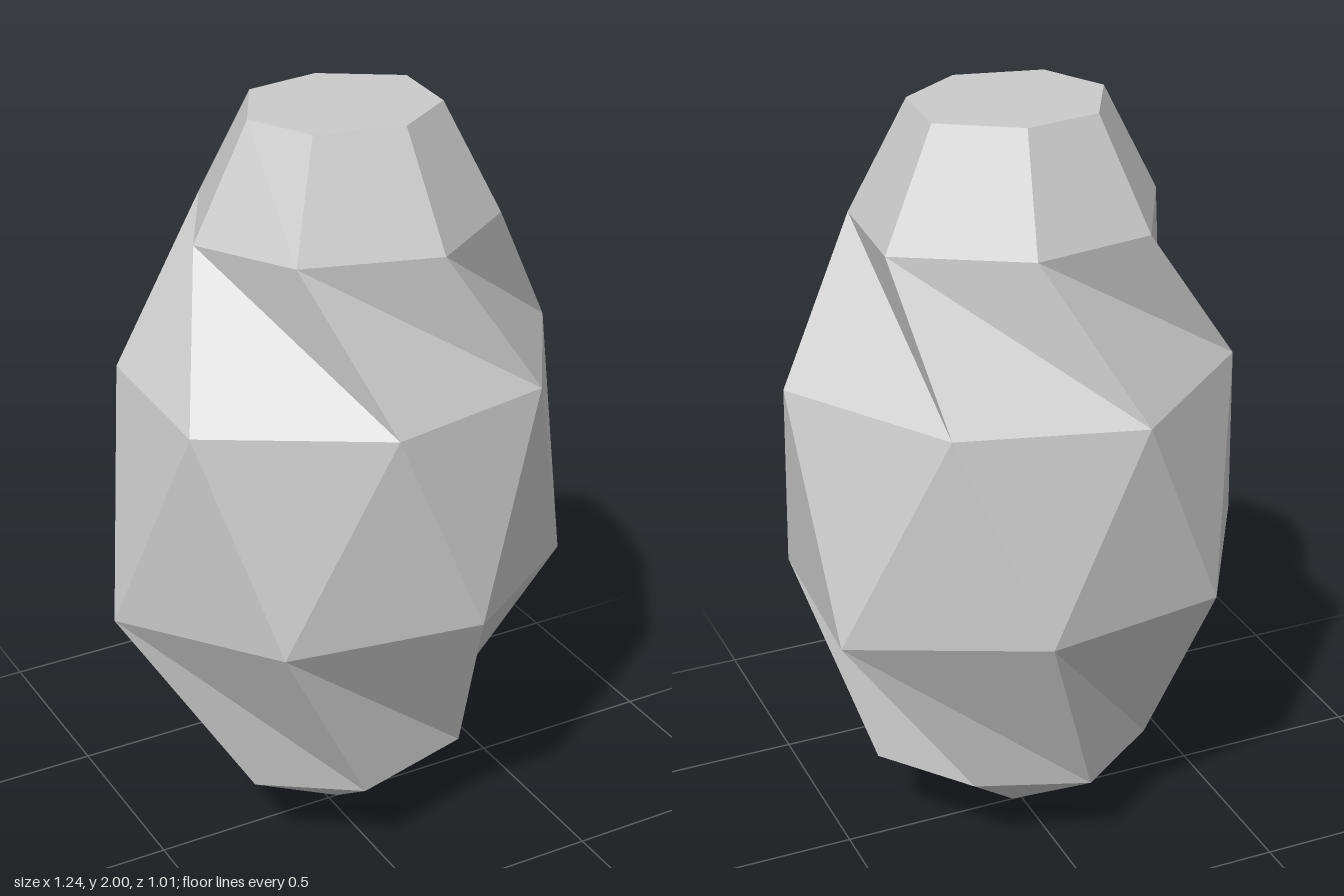
import * as THREE from 'three';

// Five seven-sided cross-sections from top to bottom, as [x, y, z] corners
const rings = [
  [[0.25, 2, 0.11], [0.085, 2, 0.22], [-0.135, 2, 0.17], [-0.22, 2, 0.005],
    [-0.12, 2, -0.18], [0.075, 2, -0.21], [0.265, 2, -0.09]],
  [[0.385, 1.71, 0.17], [0.118, 1.715, 0.355], [-0.235, 1.725, 0.275], [-0.37, 1.715, 0.01],
    [-0.21, 1.72, -0.288], [0.105, 1.72, -0.338], [0.41, 1.715, -0.15]],
  [[0.615, 1.335, 0.028], [0.372, 1.335, 0.4], [-0.075, 1.335, 0.485], [-0.5, 1.335, 0.237],
    [-0.485, 1.335, -0.21], [-0.115, 1.325, -0.505], [0.345, 1.33, -0.39]],
  [[0.56, 0.755, 0.228], [0.16, 0.78, 0.505], [-0.343, 0.77, 0.41], [-0.62, 0.76, 0.022],
    [-0.352, 0.77, -0.42], [0.135, 0.78, -0.51], [0.59, 0.755, -0.258]],
  [[0.415, 0.25, -0.01], [0.26, 0.255, 0.245], [-0.07, 0.247, 0.325], [-0.3, 0.237, 0.15],
    [-0.29, 0.235, -0.16], [-0.06, 0.225, -0.315], [0.24, 0.255, -0.25]],
];
const topCentre = [0.02, 2, 0];
const tip = [0.025, 0, 0];

export function createModel() {
  const n = rings[0].length;
  const positions = [];
  const tri = (a, b, c) => positions.push(...a, ...b, ...c);

  for (let i = 0; i < n; i++) {
    const next = (i + 1) % n;
    const prev = (i + n - 1) % n;

    // Flat crown and pointed base
    tri(topCentre, rings[0][next], rings[0][i]);
    tri(tip, rings[4][i], rings[4][next]);

    // Bands of facets, twisting between cross-sections
    for (let r = 0; r < rings.length - 1; r++) {
      const upper = rings[r];
      const lower = rings[r + 1];
      tri(lower[prev], upper[i], lower[i]);
      tri(upper[i], upper[next], lower[i]);
    }
  }

  const geometry = new THREE.BufferGeometry();
  geometry.setAttribute('position', new THREE.Float32BufferAttribute(positions, 3));
  geometry.computeVertexNormals();

  const material = new THREE.MeshStandardMaterial({ color: 0xcccccc, flatShading: true });
  const stone = new THREE.Mesh(geometry, material);
  stone.name = 'facetedStone';

  const group = new THREE.Group();
  group.name = 'stone';
  group.add(stone);
  return group;
}
